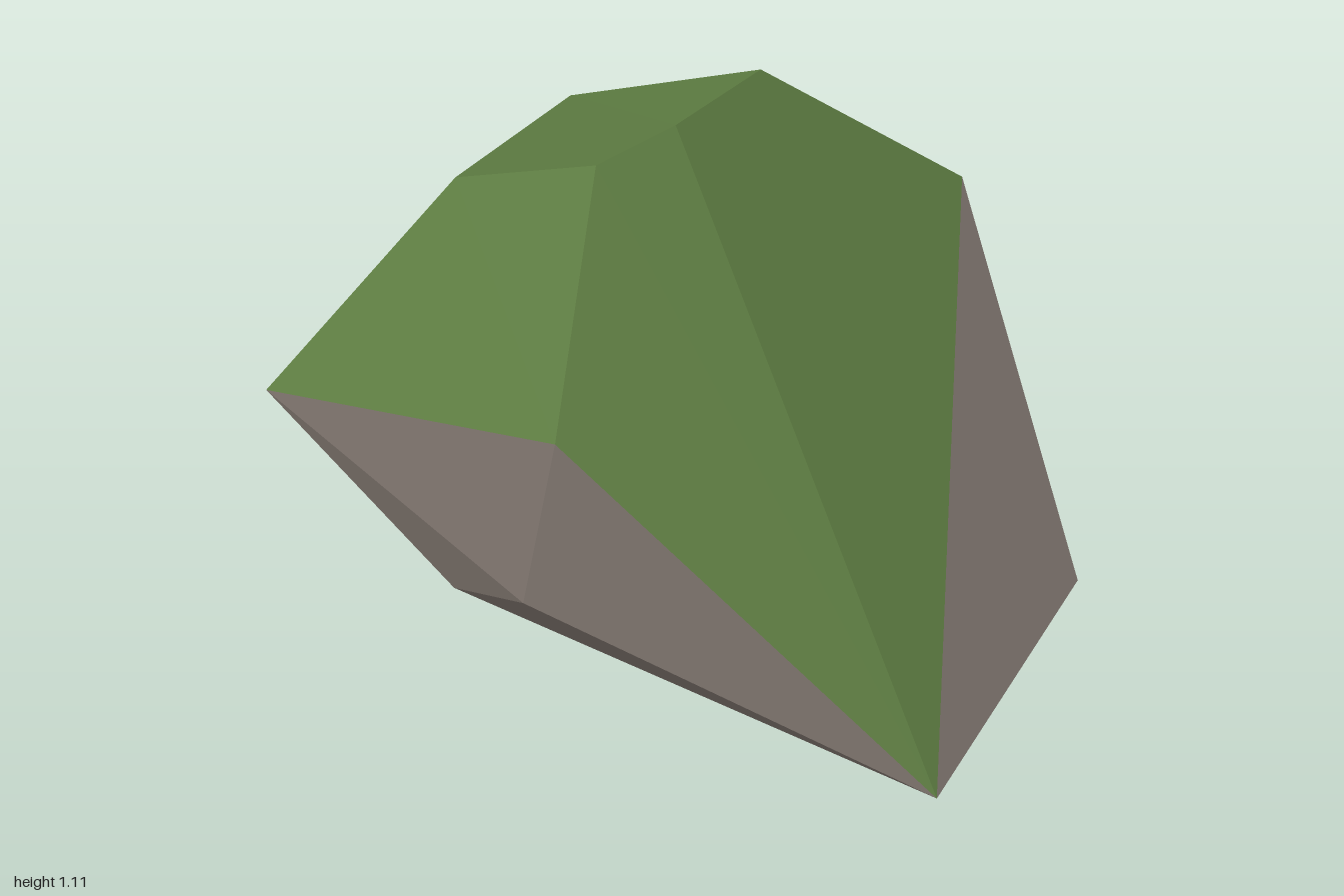
import * as THREE from 'three';

// Corner points of the boulder
const P = {
  // crown
  crownLeft: [0.26, 1.095, -0.225], crownMid: [0, 1.105, -0.02], crownRight: [-0.2, 1.09, 0.07],
  crownSide: [-0.43, 0.885, -0.31], crownBack: [-0.05, 0.8, -0.76],
  // shoulders
  shoulderLeft: [0.78, 0.723, -0.235], shoulderBack: [-0.05, 0.687, -0.88], shoulderFront: [-0.41, 0.73, 0.51],
  // waist
  waistLeft: [0.9, 0.273, -0.43], waistBack: [0.15, 0.29, -1], waistRight: [-0.9, 0.308, -0.43], waistFront: [-0.48, 0.275, 0.45],
  // foot
  toe: [0.26, 0.015, 1], footLeft: [0.83, 0.025, 0.47], footBackLeft: [0.48, 0.05, -0.76],
  footBack: [-0.21, 0, -0.865], footRight: [-0.57, 0.045, 0.1],
};

// Each facet is a polygon of corner names, listed around its rim
const mossFacets = [
  ['toe', 'shoulderFront', 'crownRight', 'crownMid'],
  ['toe', 'crownMid', 'crownLeft', 'shoulderLeft'],
  ['crownSide', 'crownRight', 'shoulderFront', 'waistRight'],
  ['crownBack', 'crownSide', 'crownRight', 'crownMid', 'crownLeft'],
  ['crownBack', 'shoulderBack', 'waistRight', 'crownSide'],
  ['crownBack', 'crownLeft', 'shoulderLeft', 'shoulderBack'],
];
const stoneFacets = [
  ['shoulderLeft', 'waistLeft', 'waistBack', 'shoulderBack'],
  ['waistLeft', 'waistBack', 'footBackLeft'],
  ['footBackLeft', 'waistBack', 'footBack'],
  ['waistLeft', 'footBackLeft', 'footLeft'],
  ['shoulderLeft', 'waistLeft', 'footLeft'],
  ['shoulderLeft', 'footLeft', 'toe'],
  ['shoulderBack', 'waistBack', 'footBack', 'waistRight'],
  ['waistRight', 'footBack', 'footRight'],
  ['waistRight', 'shoulderFront', 'waistFront'],
  ['shoulderFront', 'toe', 'waistFront'],
  ['waistRight', 'waistFront', 'footRight'],
  ['waistFront', 'toe', 'footRight'],
];
const baseFacets = [
  ['footBackLeft', 'footBack', 'footRight'],
  ['footBackLeft', 'footRight', 'toe', 'footLeft'],
];

// Fans each facet into triangles that face away from the boulder's middle
function facetMesh(name, facets, material) {
  const middle = new THREE.Vector3(0, 0.45, 0);
  const positions = [];
  for (const facet of facets) {
    const pts = facet.map((key) => new THREE.Vector3(...P[key]));
    for (let i = 1; i < pts.length - 1; i++) {
      const tri = new THREE.Triangle(pts[0], pts[i], pts[i + 1]);
      const normal = tri.getNormal(new THREE.Vector3());
      const outward = normal.dot(tri.a.clone().sub(middle)) > 0;
      const order = outward ? [tri.a, tri.b, tri.c] : [tri.a, tri.c, tri.b];
      order.forEach((v) => positions.push(v.x, v.y, v.z));
    }
  }
  const geometry = new THREE.BufferGeometry();
  geometry.setAttribute('position', new THREE.Float32BufferAttribute(positions, 3));
  geometry.computeVertexNormals(); // unshared corners keep the facets flat
  const mesh = new THREE.Mesh(geometry, material);
  mesh.name = name;
  return mesh;
}

export function createModel() {
  const moss = new THREE.MeshStandardMaterial({ color: 0x5e7d42, flatShading: true });
  moss.name = 'moss green';
  const stone = new THREE.MeshStandardMaterial({ color: 0x80766f, flatShading: true });
  stone.name = 'stone grey';

  const boulder = new THREE.Group();
  boulder.name = 'mossyBoulder';
  boulder.add(
    facetMesh('mossCap', mossFacets, moss),
    facetMesh('stoneSides', stoneFacets, stone),
    facetMesh('stoneBase', baseFacets, stone),
  );
  return boulder;
}
